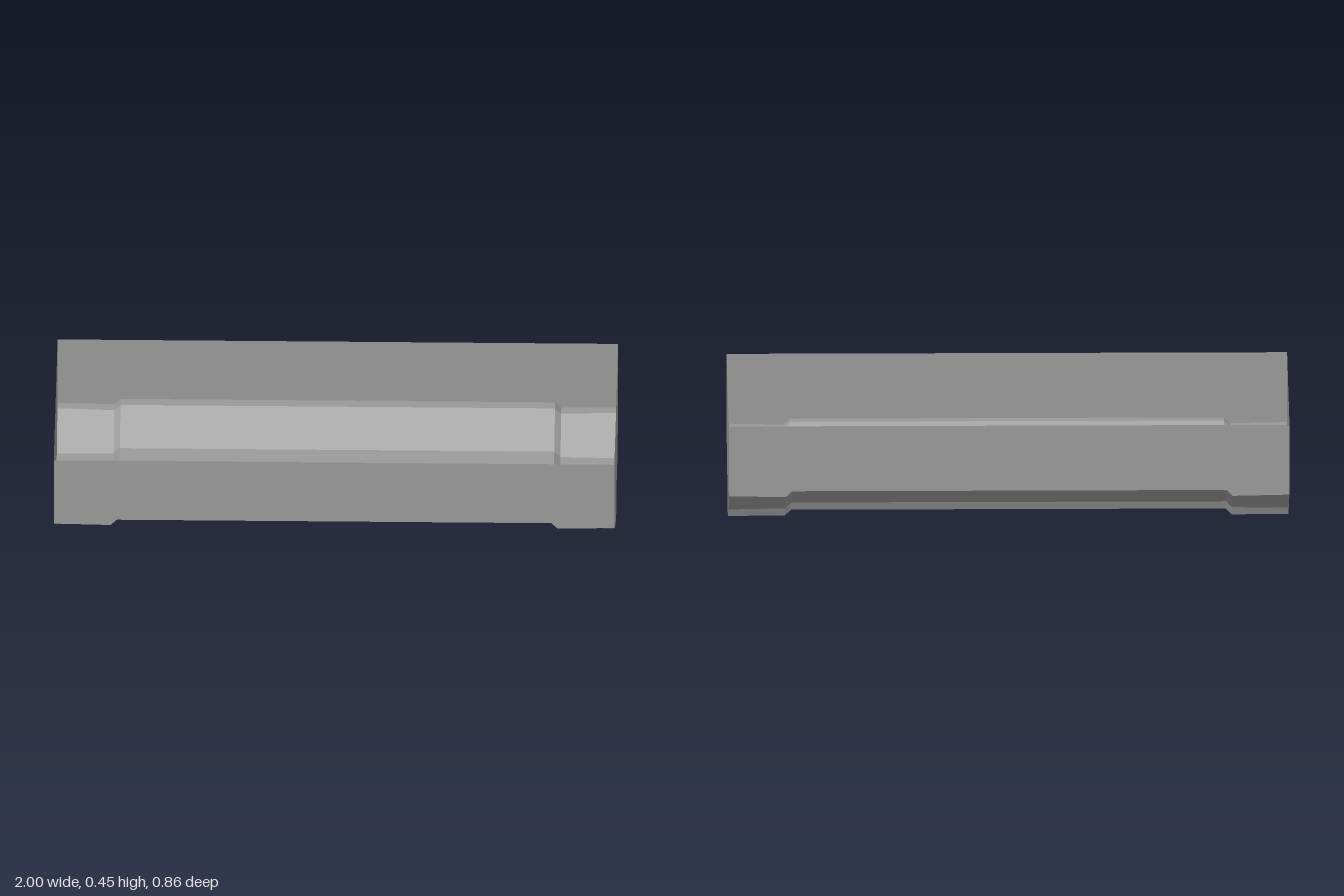
import * as THREE from 'three';

const TOP = 0.45, HALF = 0.43;

// Mirror half a cross-section, given from the side wall to the centre as [z, y]
const mirrored = half => [...half, ...half.slice(0, -1).reverse().map(([z, y]) => [-z, y])];
const END = mirrored([[HALF, 0.189], [0.384, 0.193], [0.25, 0.083], [0.102, 0.086], [0.063, 0], [0.015, 0], [0, 0.032]]);
const INNER = mirrored([[HALF, 0.185], [0.38, 0.189], [0.25, 0.086], [0.1, 0.09], [0.063, 0], [0.015, 0], [0, 0.032]]);

// Stations along the length: [x, floor section, lift of the floor]
const STATIONS = [[-1, END, 0], [-0.797, INNER, 0], [-0.775, INNER, 0.022], [0.775, INNER, 0.022], [0.797, INNER, 0], [1, END, 0]]
  .map(([x, section, lift]) => ({ x, floor: section.map(([z, y]) => [z, y + lift]) }));

// Skin the cross-sections that a rule derives from each station's floor
function loft(rule) {
  const rows = STATIONS.map(({ x, floor }) => rule(floor).map(([z, y]) => [x, y, z]));
  const pos = [];
  for (let i = 0; i < rows.length - 1; i++) {
    for (let j = 0; j < rows[i].length - 1; j++) {
      const a = rows[i][j], b = rows[i][j + 1], c = rows[i + 1][j + 1], d = rows[i + 1][j];
      pos.push(...a, ...b, ...c, ...a, ...c, ...d);
    }
  }
  const g = new THREE.BufferGeometry();
  g.setAttribute('position', new THREE.Float32BufferAttribute(pos, 3));
  g.computeVertexNormals();
  return g;
}

export function createModel() {
  const model = new THREE.Group();
  model.name = 'openTray';
  const material = new THREE.MeshStandardMaterial({ color: 0x9b9b9b, flatShading: true, side: THREE.DoubleSide });
  const add = (name, geometry) => {
    const mesh = new THREE.Mesh(geometry, material);
    mesh.name = name;
    model.add(mesh);
    return mesh;
  };

  // Folded floor with twin keels, raised between the ends
  add('floor', loft(floor => floor));

  // Long side walls reaching down to the floor's edge
  add('frontWall', loft(floor => [[HALF, TOP], floor[0]]));
  add('backWall', loft(floor => [floor.at(-1), [-HALF, TOP]]));

  // End walls closing the whole section
  const outline = new THREE.Shape([[HALF, TOP], ...END, [-HALF, TOP]].map(([z, y]) => new THREE.Vector2(z, y)));
  for (const side of [-1, 1]) {
    const wall = add(side > 0 ? 'leftEndWall' : 'rightEndWall', new THREE.ShapeGeometry(outline));
    wall.rotation.y = side * Math.PI / 2;
    wall.position.x = side;
  }
  return model;
}
